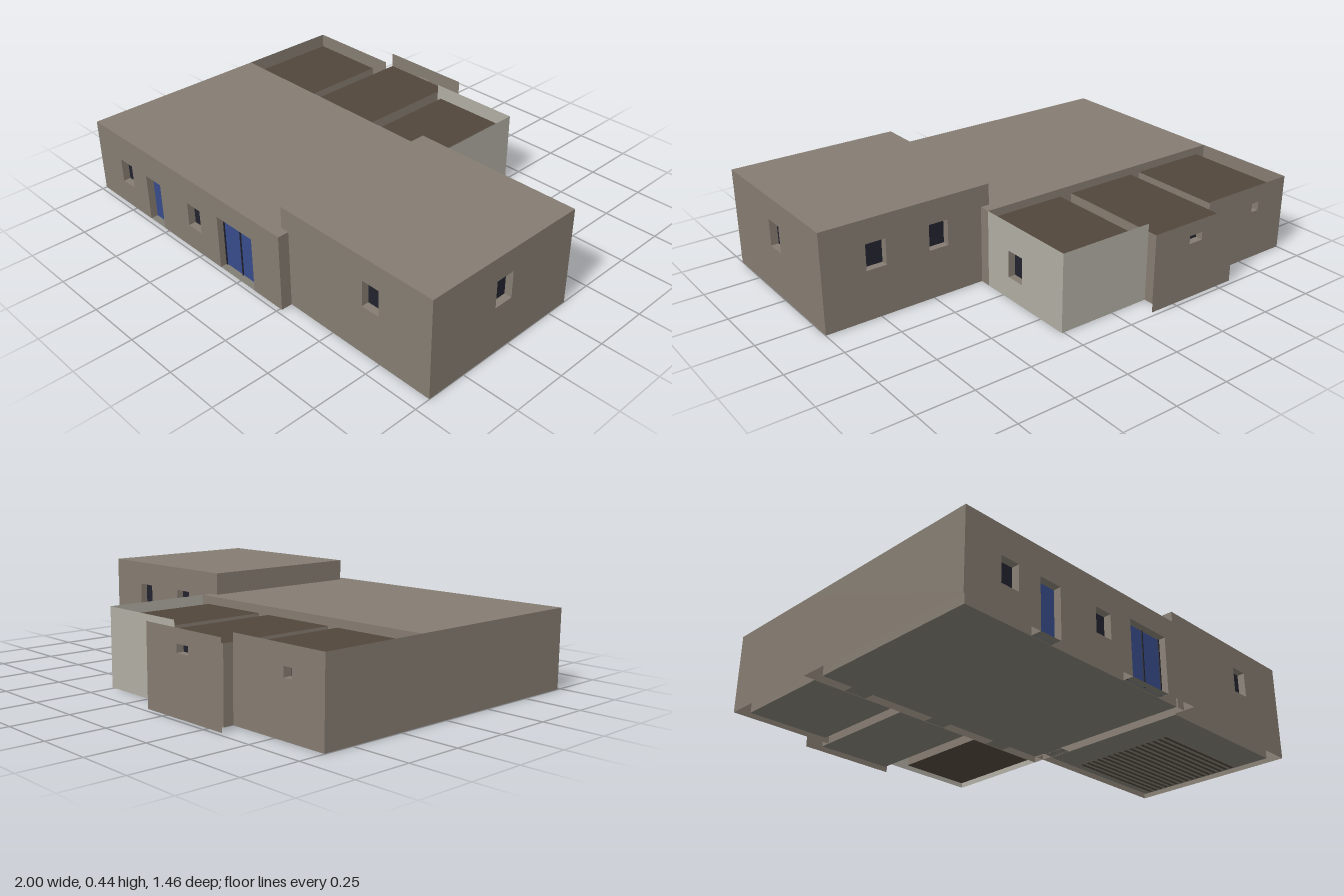
import * as THREE from 'three';

const mat = (name, color) => {
  const m = new THREE.MeshStandardMaterial({ color, side: THREE.DoubleSide });
  m.name = name;
  return m;
};

export function createModel() {
  const root = new THREE.Group();
  root.name = 'house';
  const stone = mat('stone', 0x857c71);
  const pale = mat('pale plaster', 0xb0ada3);
  const brown = mat('brown roof', 0x51463b);
  const floor = mat('grey floor', 0x807d74);
  const glass = mat('dark glass', 0x22222e);
  const blue = mat('blue door', 0x364b8a);

  const DEPTH = 0.045; // wall thickness shown by the opening reveals
  const add = (parent, name, geo, material, x, y, z) => {
    const mesh = new THREE.Mesh(geo, material);
    mesh.name = name;
    mesh.position.set(x, y, z);
    parent.add(mesh);
    return mesh;
  };

  // Opening: reveal planes around a recessed pane
  function opening(parent, [u0, u1, y0, y1, kind]) {
    const w = u1 - u0, h = y1 - y0, u = (u0 + u1) / 2, y = (y0 + y1) / 2;
    for (const side of [u0, u1])
      add(parent, 'reveal', new THREE.PlaneGeometry(DEPTH, h), stone, side, y, -DEPTH / 2).rotation.y = side === u0 ? Math.PI / 2 : -Math.PI / 2;
    for (const edge of y0 > 0 ? [y0, y1] : [y1])
      add(parent, edge === y0 ? 'sill' : 'lintel', new THREE.PlaneGeometry(w, DEPTH), stone, u, edge, -DEPTH / 2).rotation.x = edge === y0 ? -Math.PI / 2 : Math.PI / 2;
    add(parent, kind === 'window' ? 'windowPane' : 'doorLeaf', new THREE.PlaneGeometry(w, h), kind === 'window' ? glass : blue, u, y, -0.033);
    if (kind === 'doubleDoor')
      for (const s of [u0 + 0.004, u, u1 - 0.004])
        add(parent, 'doorSeam', new THREE.BoxGeometry(0.006, h, 0.004), glass, s, y, -0.03);
  }

  // Single-surface wall from u0 to u1, with windows as holes and doors as notches
  function wall(name, material, u0, u1, h, offset, turn, openings = []) {
    const g = new THREE.Group();
    g.name = name;
    g.rotation.y = turn;
    const s = new THREE.Shape();
    s.moveTo(u0, 0);
    for (const [a, b, y0, y1] of openings) {
      if (y0 === 0) {
        s.lineTo(a, 0); s.lineTo(a, y1); s.lineTo(b, y1); s.lineTo(b, 0);
      } else {
        const hole = new THREE.Path();
        hole.moveTo(a, y0); hole.lineTo(a, y1); hole.lineTo(b, y1); hole.lineTo(b, y0);
        hole.closePath();
        s.holes.push(hole);
      }
    }
    s.lineTo(u1, 0); s.lineTo(u1, h); s.lineTo(u0, h);
    s.closePath();
    add(g, name + 'Face', new THREE.ShapeGeometry(s), material, 0, 0, offset);
    const fittings = new THREE.Group();
    fittings.name = name + 'Openings';
    fittings.position.z = offset;
    openings.forEach(o => opening(fittings, o));
    g.add(fittings);
    root.add(g);
  }
  const FRONT = 0, RIGHT = Math.PI / 2, BACK = Math.PI, LEFT = -Math.PI / 2;

  const flat = (name, material, x0, x1, z0, z1, y) =>
    add(root, name, new THREE.PlaneGeometry(x1 - x0, z1 - z0), material, (x0 + x1) / 2, y, (z0 + z1) / 2).rotation.x = -Math.PI / 2;

  // Main hall
  wall('hallFront', stone, -1, 0.26, 0.345, 0.73, FRONT, [
    [-0.83, -0.745, 0.11, 0.22, 'window'],
    [-0.635, -0.53, 0, 0.22, 'door'],
    [-0.335, -0.25, 0.11, 0.22, 'window'],
    [-0.13, 0.09, 0, 0.25, 'doubleDoor'],
  ]);
  wall('hallBack', stone, -0.26, 1, 0.345, -(-0.15), BACK);
  wall('hallRight', stone, -0.73, 0.15, 0.345, 0.26, RIGHT);
  wall('hallLeft', stone, -0.15, 0.73, 0.345, 1, LEFT);
  flat('hallRoof', stone, -1, 0.26, -0.15, 0.73, 0.345);

  // Tall side block
  wall('blockFront', stone, 0.22, 1, 0.44, 0.68, FRONT, [[0.66, 0.745, 0.22, 0.335, 'window']]);
  wall('blockBack', stone, -1, -0.22, 0.44, 0.1, BACK, [
    [-0.805, -0.715, 0.22, 0.335, 'window'],
    [-0.515, -0.425, 0.22, 0.335, 'window'],
  ]);
  wall('blockRight', stone, -0.68, 0.1, 0.44, 1, RIGHT, [[-0.34, -0.25, 0.215, 0.335, 'window']]);
  wall('blockLeft', stone, -0.1, 0.68, 0.44, -0.22, LEFT);
  flat('blockRoof', stone, 0.22, 1, -0.1, 0.68, 0.44);

  // Parapet walls of the three back rooms
  wall('leftRoomBack', stone, 0.53, 1, 0.345, 0.635, BACK, [[0.8, 0.84, 0.225, 0.265, 'window']]);
  wall('leftRoomSide', stone, -0.635, -0.15, 0.345, 1, LEFT);
  wall('middleRoomBack', stone, 0.13, 0.58, 0.345, 0.73, BACK, [[0.32, 0.39, 0.25, 0.285, 'window']]);
  wall('rightRoomBack', pale, -0.26, 0.18, 0.345, 0.635, BACK);
  wall('rightRoomSide', pale, 0.15, 0.635, 0.345, 0.26, RIGHT, [[0.29, 0.38, 0.1, 0.22, 'window']]);

  // Inner room shells: x0, x1, z0, z1, height, roof, floor
  const rooms = [
    ['hallRoom', -0.95, 0.21, -0.1, 0.68, 0.3, stone, floor],
    ['blockRoom', 0.27, 0.95, -0.055, 0.63, 0.4, stone, floor],
    ['leftRoom', -0.95, -0.58, -0.59, -0.152, 0.31, brown, floor],
    ['middleRoom', -0.53, -0.18, -0.68, -0.152, 0.31, brown, floor],
    ['rightRoom', -0.12, 0.215, -0.59, -0.152, 0.31, brown, brown],
  ];
  for (const [name, x0, x1, z0, z1, h, top, base] of rooms)
    add(root, name, new THREE.BoxGeometry(x1 - x0, h, z1 - z0), [stone, stone, top, base, stone, stone], (x0 + x1) / 2, h / 2, (z0 + z1) / 2);

  // Thresholds under the doorways
  for (const [x0, x1, z0, z1] of [
    [-0.635, -0.53, 0.68, 0.73], [-0.13, 0.09, 0.68, 0.73],
    [-0.81, -0.71, -0.152, -0.1], [-0.4, -0.3, -0.152, -0.1],
    [-0.05, 0.05, -0.152, -0.1], [0.21, 0.27, -0.05, 0.05],
  ]) flat('threshold', floor, x0, x1, z0, z1, 0.001);

  // Slatted patch under the block floor
  for (let i = 0; i < 16; i++) {
    const z = -0.02 + i * 0.031;
    flat('floorSlat', brown, 0.43, 0.94, z, z + 0.015, -0.001);
  }
  return root;
}
